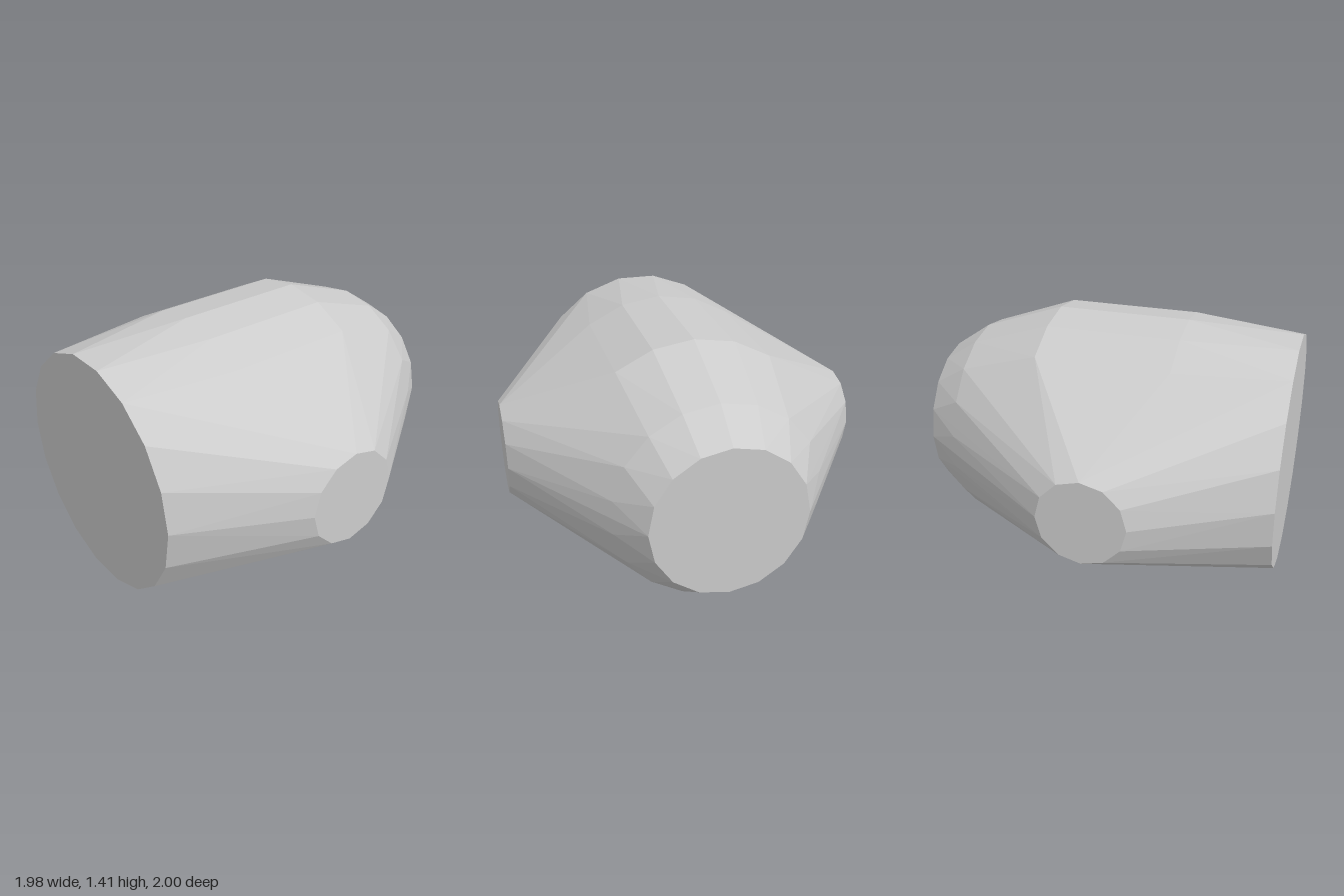
import * as THREE from 'three';
import { ConvexGeometry } from 'three/addons/geometries/ConvexGeometry.js';

const CY = 0.71, CZ = 0.015; // axis of the barrel

// Regular ring of points around the long (x) axis; turn = 0 puts a corner on top
function barrelRing(x, radius, sides, turn = 0) {
  return Array.from({ length: sides }, (_, i) => {
    const a = turn + (i / sides) * Math.PI * 2;
    return new THREE.Vector3(x, CY + radius * Math.cos(a), CZ + radius * Math.sin(a));
  });
}

// Regular ring of points around the crosswise (z) axis
function sideRing(z, radius, sides) {
  return Array.from({ length: sides }, (_, i) => {
    const a = (i / sides) * Math.PI * 2;
    return new THREE.Vector3(-0.105 + radius * Math.sin(a), CY + radius * Math.cos(a), z);
  });
}

export function createModel() {
  const group = new THREE.Group();
  group.name = 'facetedHull';

  // One convex skin stretched over the barrel rings and the two side discs
  const points = [
    ...barrelRing(-0.99, 0.655, 18, Math.PI / 18), // wide end cap
    ...barrelRing(-0.39, 0.707, 20),
    ...barrelRing(0.335, 0.707, 20),
    ...barrelRing(0.785, 0.55, 18),
    ...barrelRing(0.985, 0.412, 16),               // narrow end cap
    ...sideRing(1, 0.26, 12),                      // front disc
    ...sideRing(-1, 0.233, 12),                    // back disc
  ];
  const hull = new THREE.Mesh(
    new ConvexGeometry(points),
    new THREE.MeshStandardMaterial({ color: 0xcccccc, flatShading: true })
  );
  hull.name = 'hull';
  group.add(hull);
  return group;
}
